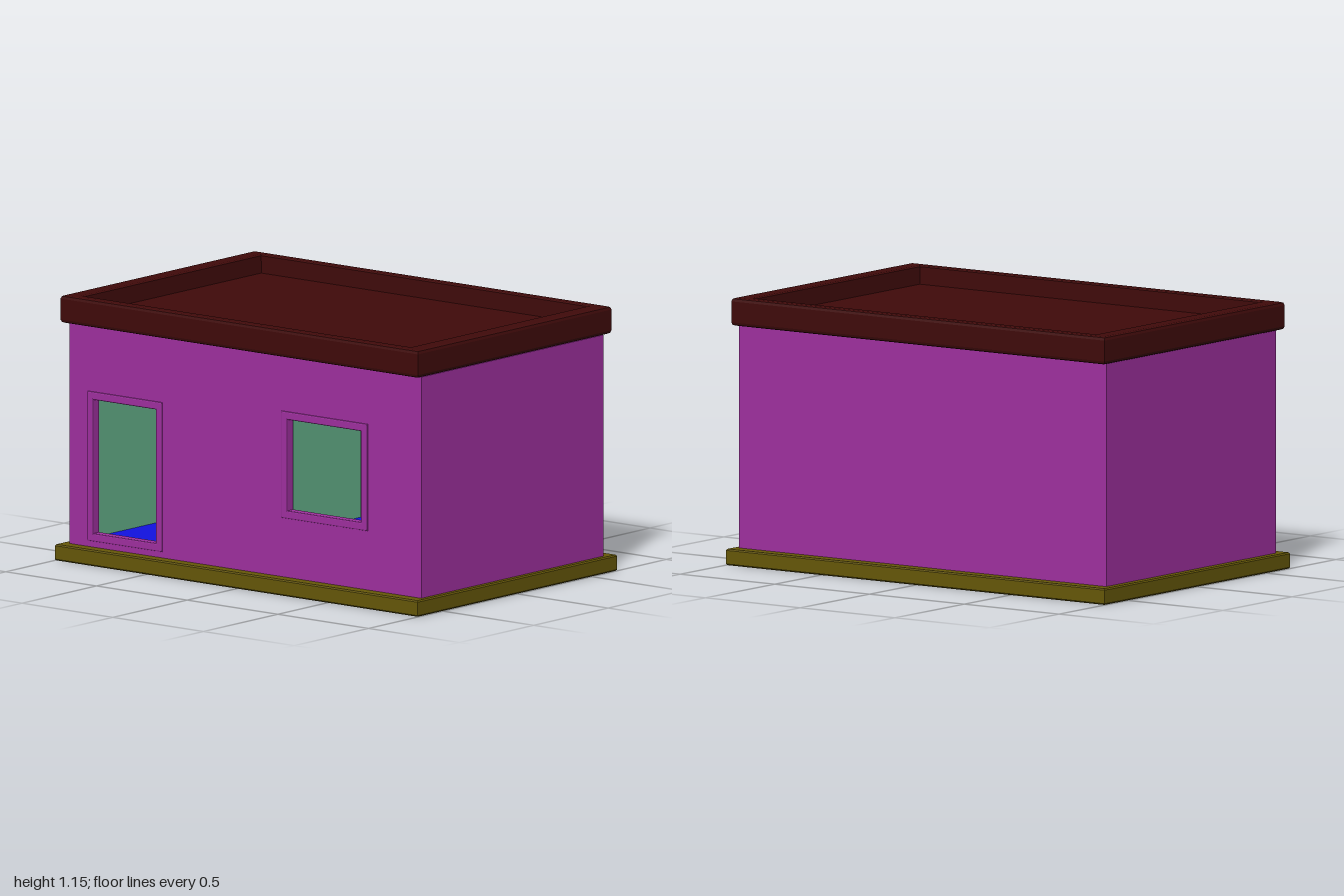
import * as THREE from 'three';

const mat = (color, side = THREE.FrontSide) => new THREE.MeshStandardMaterial({ color, side });
const PURPLE = mat(0xa030a0), ROOF = mat(0x400a0a), BASE = mat(0x665808);
const GREEN = mat(0x66b28c, THREE.DoubleSide), BLUE = mat(0x1212e0);

// Openings in the side wall: [z0, y0, z1, y1]
const DOOR = [-0.83, 0.13, -0.485, 0.71];
const WINDOW = [0.24, 0.36, 0.645, 0.755];

function rect(path, [x0, y0, x1, y1]) {
  path.moveTo(x0, y0);
  path.lineTo(x1, y0);
  path.lineTo(x1, y1);
  path.lineTo(x0, y1);
  path.closePath();
  return path;
}

function panelShape(outer, holes) {
  const shape = rect(new THREE.Shape(), outer);
  shape.holes = holes.map((h) => rect(new THREE.Path(), h));
  return shape;
}

// Skin through rectangular loops [halfX, halfZ, y], listed bottom centre outwards and up
function rectLoft(loops) {
  const pos = [];
  const corner = ([hx, hz, y], i) => [[hx, y, hz], [hx, y, -hz], [-hx, y, -hz], [-hx, y, hz]][i % 4];
  for (let j = 0; j + 1 < loops.length; j++) {
    for (let i = 0; i < 4; i++) {
      const a = corner(loops[j], i), b = corner(loops[j], i + 1);
      const c = corner(loops[j + 1], i + 1), d = corner(loops[j + 1], i);
      pos.push(...a, ...b, ...c, ...a, ...c, ...d);
    }
  }
  const geo = new THREE.BufferGeometry();
  geo.setAttribute('position', new THREE.Float32BufferAttribute(pos, 3));
  geo.computeVertexNormals();
  return geo;
}

export function createModel() {
  const model = new THREE.Group();
  const add = (name, geo, material, x = 0, y = 0, z = 0) => {
    const mesh = new THREE.Mesh(geo, material);
    mesh.name = name;
    mesh.position.set(x, y, z);
    model.add(mesh);
  };

  // Plinth trim: a closed ring with slightly softened outer edges
  add('plinthTrim', rectLoft([
    [0.612, 0.962, 0], [0.665, 0.995, 0], [0.67, 1, 0.006], [0.67, 1, 0.064],
    [0.665, 0.995, 0.07], [0.612, 0.962, 0.07], [0.612, 0.962, 0],
  ]), BASE);

  // Floors of the two rooms, with a gap under the partition
  const split = -0.355, gap = 0.02;
  for (const [name, z0, z1] of [['backFloor', -0.93, split - gap], ['frontFloor', split + gap, 0.94]]) {
    add(name, new THREE.BoxGeometry(1.15, 0.018, z1 - z0), BLUE, 0, 0.074, (z0 + z1) / 2);
  }

  // Side walls, coloured inside by a thin lining; only one side has openings
  for (const [side, outerX, innerX, holes] of [['left', 0.61, 0.574, []], ['right', -0.58, -0.579, [DOOR, WINDOW]]]) {
    const wall = new THREE.ExtrudeGeometry(panelShape([-0.93, 0.02, 0.94, 1.03], holes), {
      depth: 0.035, bevelEnabled: false,
    });
    add(side + 'Wall', wall.rotateY(-Math.PI / 2), PURPLE, outerX);
    const lining = new THREE.ShapeGeometry(panelShape([-0.93, 0.07, 0.94, 1.03], holes));
    add(side + 'Lining', lining.rotateY(-Math.PI / 2), GREEN, innerX);
  }

  // Front and back walls with linings
  for (const [name, s, z] of [['front', 1, 0.9575], ['back', -1, -0.9475]]) {
    add(name + 'Wall', new THREE.BoxGeometry(1.225, 1.01, 0.035), PURPLE, -0.0025, 0.525, z);
    add(name + 'Lining', new THREE.PlaneGeometry(1.15, 0.96), GREEN, 0, 0.55, z - s * 0.0185);
  }

  // Partition between the rooms
  add('partition', new THREE.BoxGeometry(1.15, 0.96, 0.04), GREEN, 0, 0.55, split);

  // Slightly raised frames around the door and window
  for (const [name, [a, b, c, d]] of [['doorFrame', DOOR], ['windowFrame', WINDOW]]) {
    const w = 0.035, e = 0.005;
    const frame = new THREE.ExtrudeGeometry(
      panelShape([a - w + e, b - w + e, c + w - e, d + w - e], [[a - e, b - e, c + e, d + e]]),
      { depth: 0.002, bevelThickness: 0.006, bevelSize: e, bevelSegments: 2 },
    );
    add(name, frame.rotateY(-Math.PI / 2), PURPLE, -0.612);
  }

  // Flat roof: one solid with a softened rim around a sunken deck
  add('roof', rectLoft([
    [0, 0, 1.03], [0.635, 0.97, 1.03], [0.646, 0.981, 1.034], [0.65, 0.985, 1.045],
    [0.65, 0.985, 1.135], [0.646, 0.981, 1.146], [0.635, 0.97, 1.15], [0.605, 0.91, 1.15],
    [0.597, 0.902, 1.145], [0.595, 0.9, 1.07], [0, 0, 1.07],
  ]), ROOF);

  return model;
}
